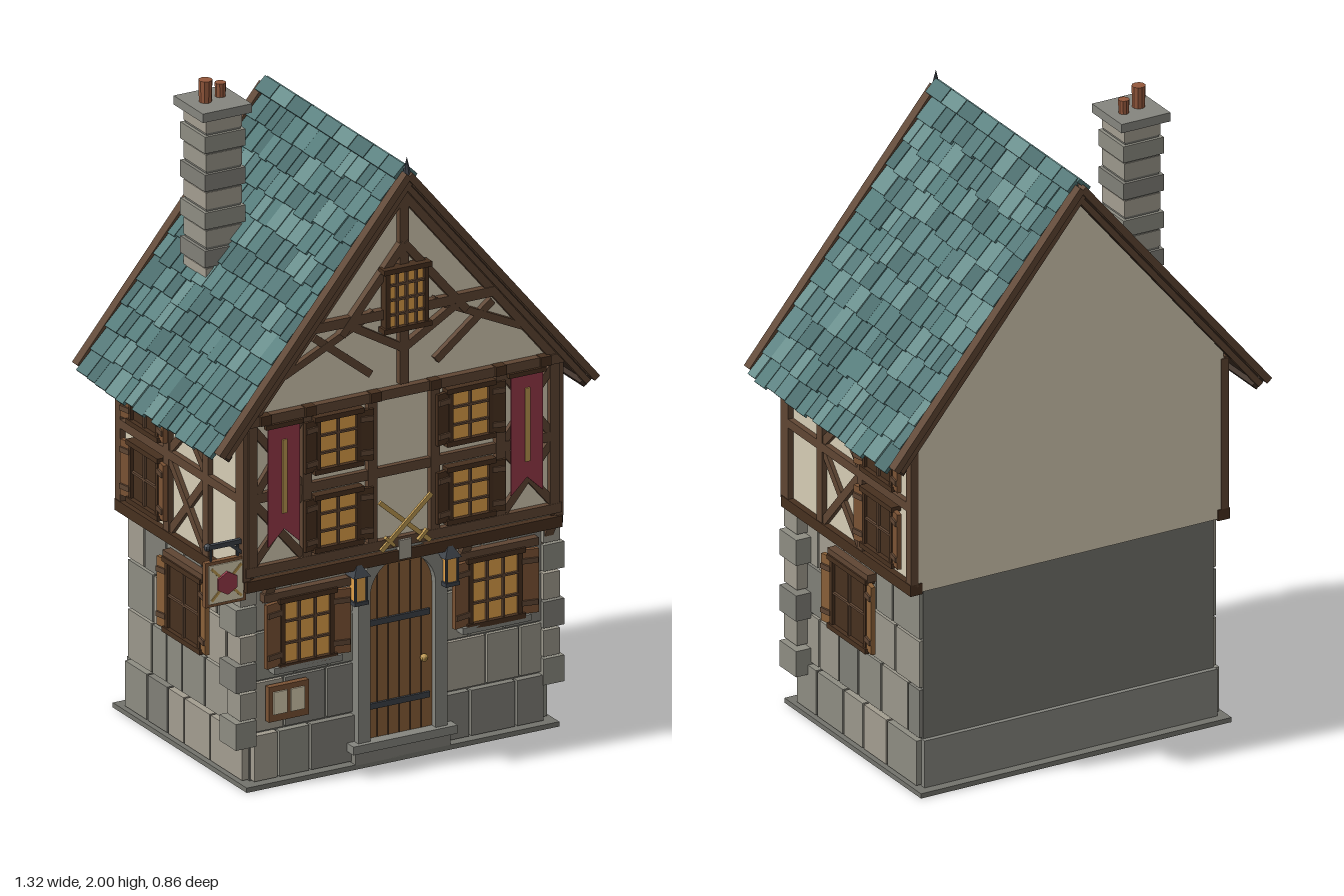
import * as THREE from 'three';

const mat = (color) => new THREE.MeshStandardMaterial({ color, flatShading: true });
const M = {
  plaster: mat(0xd6ccb4), timber: mat(0x5f4633), dark: mat(0x47301f), door: mat(0x8a6038), plank: mat(0x7a5234),
  iron: mat(0x3c4148), mortar: mat(0x73736c), trim: mat(0x85857e), glass: mat(0xe0a04a), red: mat(0x98394a),
  gold: mat(0xbd9850), paper: mat(0xd8cdb0), clay: mat(0x94583c), roofDark: mat(0x3b2c22),
};
const stones = [0x8d8c82, 0x9a978b, 0x807f77, 0xa39d90].map(mat);
const slates = [0x4f7474, 0x587f7e, 0x456868, 0x668c8a, 0x507877].map(mat);
M.red.side = THREE.DoubleSide;

let seed = 7;
const rnd = () => (seed = (seed * 16807) % 2147483647) / 2147483647;
const pick = (list) => list[Math.floor(rnd() * list.length)];

function add(parent, name, geo, material, x = 0, y = 0, z = 0) {
  const m = new THREE.Mesh(geo, material);
  m.name = name;
  m.position.set(x, y, z);
  parent.add(m);
  return m;
}
const box = (p, name, w, h, d, x, y, z, m) => add(p, name, new THREE.BoxGeometry(w, h, d), m, x, y, z);
function group(parent, name) {
  const g = new THREE.Group();
  g.name = name;
  parent.add(g);
  return g;
}
// Straight bar between two points of a wall plane
function beam(p, name, x1, y1, x2, y2, w, z, m = M.timber, d = 0.025) {
  const b = box(p, name, Math.hypot(x2 - x1, y2 - y1), w, d, (x1 + x2) / 2, (y1 + y2) / 2, z, m);
  b.rotation.z = Math.atan2(y2 - y1, x2 - x1);
  return b;
}
function polygon(points) {
  return new THREE.Shape(points.map(([x, y]) => new THREE.Vector2(x, y)));
}
const extrude = (shape, depth) => new THREE.ExtrudeGeometry(shape, { depth, bevelEnabled: false, curveSegments: 10 });

// Irregular blocks laid in courses between two ends of a wall
function masonry(p, from, to, face) {
  const rows = [0.015, 0.165, 0.325, 0.48, 0.64];
  for (let r = 0; r < 4; r++) {
    const h = rows[r + 1] - rows[r], out = r === 0 ? 0.022 : 0.012;
    for (let x = from; x < to - 0.01;) {
      let w = 0.085 + rnd() * 0.075;
      if (to - x - w < 0.06) w = to - x;
      box(p, 'stoneBlock', w - 0.008, h - 0.008, 0.03, x + w / 2, rows[r] + h / 2, face + out - 0.015, pick(stones));
      x += w;
    }
  }
}

// Framed window with bars and a shutter on each side
function windowUnit(p, x, y, w, h, face, pane, shutter, sw, cols = 2, rows = 3) {
  const g = group(p, 'window');
  g.position.set(x, y, face);
  box(g, 'pane', w, h, 0.02, 0, 0, 0.005, pane);
  for (const s of [-1, 1]) {
    box(g, 'frameSide', 0.014, h + 0.014, 0.03, s * w / 2, 0, 0.01, M.dark);
    box(g, 'frameRail', w + 0.03, 0.016, 0.036, 0, s * h / 2, 0.012, M.dark);
    if (sw) {
      const leaf = box(g, 'shutter', sw, h - 0.005, 0.014, s * (w / 2 + sw / 2 + 0.004), 0, 0.018, shutter);
      leaf.rotation.y = -s * 0.2;
      for (const t of [-1, 1]) box(leaf, 'shutterBatten', sw * 0.9, 0.016, 0.008, 0, t * h * 0.32, 0.009, M.timber);
    }
  }
  for (let i = 1; i < cols; i++) box(g, 'glazingBar', 0.008, h, 0.01, -w / 2 + i * w / cols, 0, 0.018, M.timber);
  for (let i = 1; i < rows; i++) box(g, 'glazingBar', w, 0.007, 0.01, 0, -h / 2 + i * h / rows, 0.018, M.timber);
}

function buildShell(p) {
  box(p, 'baseSlab', 1.05, 0.015, 0.78, 0, 0.0075, 0, M.mortar);
  box(p, 'stoneStorey', 0.98, 0.64, 0.69, 0, 0.325, 0, M.mortar);
  box(p, 'backPlinth', 0.99, 0.15, 0.02, 0, 0.09, -0.35, M.trim);
  const wall = polygon([[-0.52, 0.64], [0.52, 0.64], [0.52, 1.17], [0, 1.795], [-0.52, 1.17]]);
  add(p, 'upperStorey', extrude(wall, 0.73), M.plaster, 0, 0, -0.352);
}

function buildFront(p) {
  masonry(p, -0.49, -0.145, 0.345);
  masonry(p, 0.145, 0.49, 0.345);
  // Sill, rails and jetty
  box(p, 'jettyBeam', 1.06, 0.035, 0.06, 0, 0.645, 0.37, M.dark);
  box(p, 'sill', 1.06, 0.03, 0.045, 0, 0.688, 0.375, M.timber);
  box(p, 'middleRail', 1.04, 0.03, 0.03, 0, 0.915, 0.38, M.timber);
  box(p, 'headBeam', 1.08, 0.03, 0.045, 0, 1.158, 0.38, M.timber);
  beam(p, 'kingPost', 0, 1.18, 0, 1.78, 0.03, 0.386);
  beam(p, 'collarBeam', -0.33, 1.41, 0.33, 1.41, 0.03, 0.388);
  for (const s of [-1, 1]) {
    for (const x of [0.507, 0.325, 0.105]) beam(p, 'post', s * x, 0.69, s * x, 1.15, 0.03, 0.384);
    beam(p, 'brace', s * 0.5, 0.92, s * 0.34, 1.14, 0.025, 0.382);
    beam(p, 'brace', s * 0.34, 0.93, s * 0.5, 1.13, 0.025, 0.38);
    beam(p, 'brace', s * 0.5, 0.9, s * 0.34, 0.71, 0.025, 0.382);
    beam(p, 'brace', s * 0.34, 0.9, s * 0.5, 0.71, 0.025, 0.38);
    beam(p, 'rafter', s * 0.515, 1.155, 0, 1.775, 0.03, 0.385);
    beam(p, 'gableBrace', 0, 1.62, s * 0.21, 1.37, 0.025, 0.389);
    beam(p, 'gableBrace', s * 0.4, 1.28, s * 0.1, 1.42, 0.022, 0.384);
    beam(p, 'gableBrace', 0, 1.29, s * 0.19, 1.4, 0.024, 0.386);
    beam(p, 'gableBrace', s * 0.11, 1.23, s * 0.3, 1.38, 0.024, 0.383);
    for (const x of [0.47, 0.32, 0.1]) box(p, 'beamEnd', 0.035, 0.03, 0.03, s * x, 1.16, 0.395, M.dark);
    for (const y of [1.045, 0.8]) windowUnit(p, s * 0.222, y, 0.135, 0.165, 0.378, M.glass, M.dark, 0.045);
    windowUnit(p, s * 0.316, 0.472, 0.165, 0.205, 0.36, M.glass, M.plank, 0.056, 3, 3);
    box(p, 'windowLintel', 0.29, 0.025, 0.035, s * 0.316, 0.59, 0.365, M.timber);
    box(p, 'windowSill', 0.23, 0.02, 0.04, s * 0.316, 0.36, 0.37, M.trim);
    // Jetty brackets and corner stones
    for (const x of [0.47, 0.19]) add(p, 'bracket', extrude(polygon([[0, 0], [0, 0.08], [-0.045, 0.08]]), 0.03), M.timber, s * x + 0.015, 0.555, 0.35).rotation.y = Math.PI / 2;
    for (let i = 0; i < 6; i++) {
      const w = i % 2 ? 0.055 : 0.07, d = i % 2 ? 0.075 : 0.095;
      box(p, 'cornerStone', w, 0.082, d, s * (0.482 + w / 2), 0.172 + i * 0.089, 0.373 - d / 2, stones[i % 4]);
    }
    // Banner
    const cloth = polygon([[-0.053, 0], [0.053, 0], [0.053, -0.375], [0, -0.325], [-0.053, -0.375]]);
    add(p, 'banner', extrude(cloth, 0.006), M.red, s * 0.408, 1.135, 0.4);
    box(p, 'bannerStripe', 0.016, 0.23, 0.006, s * 0.408, 0.975, 0.408, M.gold);
    box(p, 'bannerRod', 0.125, 0.014, 0.014, s * 0.408, 1.137, 0.404, M.dark);
    // Lantern
    const l = group(p, 'lantern');
    l.position.set(s * 0.153, 0.57, 0.392);
    box(l, 'lanternGlass', 0.036, 0.075, 0.036, 0, 0, 0, M.glass);
    box(l, 'lanternBase', 0.048, 0.012, 0.048, 0, -0.043, 0, M.iron);
    add(l, 'lanternCap', new THREE.ConeGeometry(0.04, 0.045, 4, 1, false, Math.PI / 4), M.iron, 0, 0.062, 0);
    for (const a of [-1, 1]) box(l, 'lanternBar', 0.006, 0.08, 0.006, a * 0.019, 0, 0.019, M.iron);
    box(l, 'lanternArm', 0.012, 0.012, 0.05, 0, 0.08, -0.02, M.iron);
    // Crossed gold blades
    beam(p, 'crossedBlade', -s * 0.085, 0.675, s * 0.085, 0.825, 0.014, 0.405 + s * 0.004, M.gold, 0.008);
    beam(p, 'bladeGuard', -s * 0.07, 0.715, -s * 0.04, 0.685, 0.01, 0.408, M.gold, 0.012);
  }
  windowUnit(p, 0, 1.455, 0.13, 0.185, 0.392, M.glass, M.dark, 0, 4, 4);
}

function buildDoor(p) {
  const arch = (r, base) => {
    const s = new THREE.Shape();
    s.moveTo(-r, base);
    s.lineTo(r, base);
    s.lineTo(r, 0.53);
    s.absarc(0, 0.53, r, 0, Math.PI, false);
    s.lineTo(-r, base);
    return s;
  };
  const surround = arch(0.15, 0.05);
  surround.holes.push(arch(0.11, 0.07));
  add(p, 'doorSurround', extrude(surround, 0.045), M.trim, 0, 0, 0.345);
  add(p, 'door', extrude(arch(0.111, 0.07), 0.022), M.door, 0, 0, 0.345);
  for (let i = -2; i <= 2; i++) box(p, 'plankJoint', 0.004, 0.53, 0.004, i * 0.037, 0.345, 0.368, M.dark);
  for (const y of [0.18, 0.44]) box(p, 'doorStrap', 0.2, 0.018, 0.008, 0, y, 0.371, M.iron);
  box(p, 'keystone', 0.04, 0.06, 0.055, 0, 0.665, 0.378, stones[3]);
  add(p, 'doorKnob', new THREE.SphereGeometry(0.012, 10, 8), M.gold, 0.078, 0.3, 0.378);
  box(p, 'doorStep', 0.35, 0.026, 0.06, 0, 0.066, 0.375, M.trim);
  box(p, 'lowerStep', 0.32, 0.045, 0.04, 0, 0.035, 0.37, stones[2]);
  // Notice board
  box(p, 'noticeBoard', 0.135, 0.11, 0.02, -0.38, 0.257, 0.374, M.plank);
  for (const x of [-0.41, -0.352]) box(p, 'notice', 0.045, 0.07, 0.006, x, 0.26, 0.386, M.paper);
}

function buildSign(p) {
  const g = group(p, 'hangingSign');
  g.position.set(-0.592, 0.672, 0.375);
  box(g, 'signBack', 0.135, 0.14, 0.018, 0, 0, 0, M.plank);
  box(g, 'signFace', 0.115, 0.12, 0.006, 0, 0, 0.01, M.paper);
  for (const s of [-1, 1]) {
    beam(g, 'signCross', -s * 0.05, -0.05, s * 0.05, 0.05, 0.008, 0.014, M.gold, 0.004);
    box(g, 'signHanger', 0.006, 0.045, 0.006, s * 0.045, 0.09, 0, M.iron);
  }
  add(g, 'signEmblem', new THREE.CylinderGeometry(0.036, 0.036, 0.008, 6), M.red, 0, 0, 0.018).rotation.x = Math.PI / 2;
  box(g, 'signArm', 0.145, 0.014, 0.014, 0.01, 0.115, 0, M.iron);
  add(g, 'signArmTip', new THREE.SphereGeometry(0.012, 8, 6), M.iron, -0.056, 0.115, 0);
  beam(g, 'signStay', 0.02, 0.11, 0.08, 0.06, 0.01, 0, M.iron, 0.01);
}

// Side wall in its own plane: z is outward, u runs along the house
function buildSide(p, s) {
  const g = group(p, s > 0 ? 'leftWall' : 'rightWall');
  g.rotation.y = s * Math.PI / 2;
  const u = (z) => -s * z, f = 0.525;
  masonry(g, -0.345, 0.345, 0.49);
  box(g, 'sideSill', 0.74, 0.035, 0.04, u(0.015), 0.652, f - 0.005, M.dark);
  beam(g, 'sideRail', -0.35, 0.912, 0.35, 0.912, 0.028, f);
  beam(g, 'sideHead', -0.35, 1.14, 0.35, 1.14, 0.03, f);
  for (const [z, w] of [[0.37, 0.045], [0.17, 0.03], [-0.06, 0.03], [-0.34, 0.03]]) beam(g, 'sidePost', u(z), 0.66, u(z), 1.15, w, f);
  for (const [y1, y2] of [[0.67, 0.9], [0.925, 1.13]]) {
    beam(g, 'crossBrace', u(0.16), y1, u(-0.05), y2, 0.025, f - 0.003);
    beam(g, 'crossBrace', u(-0.05), y1, u(0.16), y2, 0.025, f - 0.005);
  }
  for (const y of [0.79, 1.035]) windowUnit(g, u(-0.175), y, 0.155, 0.18, f - 0.002, M.dark, M.plank, 0.045, 2, 2);
  windowUnit(g, u(0.022), 0.462, 0.19, 0.22, 0.505, M.dark, M.door, 0.045, 2, 2);
  box(g, 'sideLintel', 0.23, 0.025, 0.04, u(0.022), 0.585, 0.51, M.timber);
}

function buildRoof(p) {
  const tilt = 0.878, rows = 12, step = 0.98 / rows;
  for (const s of [1, -1]) {
    const side = group(p, 'roofSide');
    side.position.y = 1.86;
    side.rotation.y = s > 0 ? 0 : Math.PI;
    const slope = group(side, 'roofSlope');
    slope.rotation.z = -tilt;
    box(slope, 'roofDeck', 0.99, 0.018, 0.8, 0.5, -0.031, 0, M.roofDark);
    box(slope, 'eaveBoard', 0.02, 0.04, 0.82, 0.99, -0.035, 0, M.roofDark);
    for (const e of [-1, 1]) {
      box(slope, 'bargeBoard', 0.985, 0.022, 0.032, 0.508, -0.011, e * 0.414, M.timber);
      box(slope, 'lowerBargeBoard', 0.965, 0.018, 0.022, 0.512, -0.036, e * 0.408, M.timber);
    }
    // Overlapping slates of uneven width and length
    for (let r = 0; r < rows; r++) {
      for (let z = -0.395; z < 0.39;) {
        let w = 0.04 + rnd() * 0.03;
        if (0.395 - z - w < 0.03) w = 0.395 - z;
        const len = step + 0.018 + rnd() * 0.014;
        const t = box(slope, 'slate', len, 0.012, w - 0.003, 0.015 + r * step + len / 2, -0.012 + rnd() * 0.003, z + w / 2, pick(slates));
        t.rotation.z = 0.09;
        z += w;
      }
    }
    for (let i = 0; i < 9; i++) {
      const cap = box(slope, 'ridgeTile', 0.05, 0.014, 0.087, 0.02, 0.003, -0.358 + i * 0.0905, slates[i % 4]);
      cap.rotation.z = 0.1;
    }
  }
  add(p, 'finial', new THREE.ConeGeometry(0.014, 0.06, 6), M.iron, 0, 1.865, 0.412);
}

function buildChimney(p) {
  const g = group(p, 'chimney');
  g.position.set(-0.31, 0, -0.18);
  box(g, 'chimneyCore', 0.115, 0.62, 0.125, 0, 1.6, 0, M.mortar);
  for (let i = 0; i < 10; i++) {
    const w = i % 2 ? 0.122 : 0.136;
    box(g, 'chimneyCourse', w, 0.052, w + 0.008, 0, 1.35 + i * 0.0595, 0, stones[(i * 3) % 4]);
  }
  box(g, 'chimneyCap', 0.165, 0.028, 0.17, 0, 1.918, 0, M.trim);
  for (const [x, z, r, top] of [[-0.025, 0, 0.021, 2], [0.034, -0.015, 0.017, 1.975]]) {
    add(g, 'chimneyPot', new THREE.CylinderGeometry(r, r * 0.9, top - 1.92, 10), M.clay, x, (top + 1.92) / 2, z);
  }
}

export function createModel() {
  const root = new THREE.Group();
  root.name = 'timberFramedHouse';
  const house = group(root, 'house');
  house.position.x = 0.007;
  buildShell(house);
  buildFront(group(house, 'frontWall'));
  buildDoor(group(house, 'entrance'));
  buildSign(house);
  for (const s of [1, -1]) buildSide(house, s);
  buildRoof(group(house, 'roof'));
  buildChimney(house);
  return root;
}
